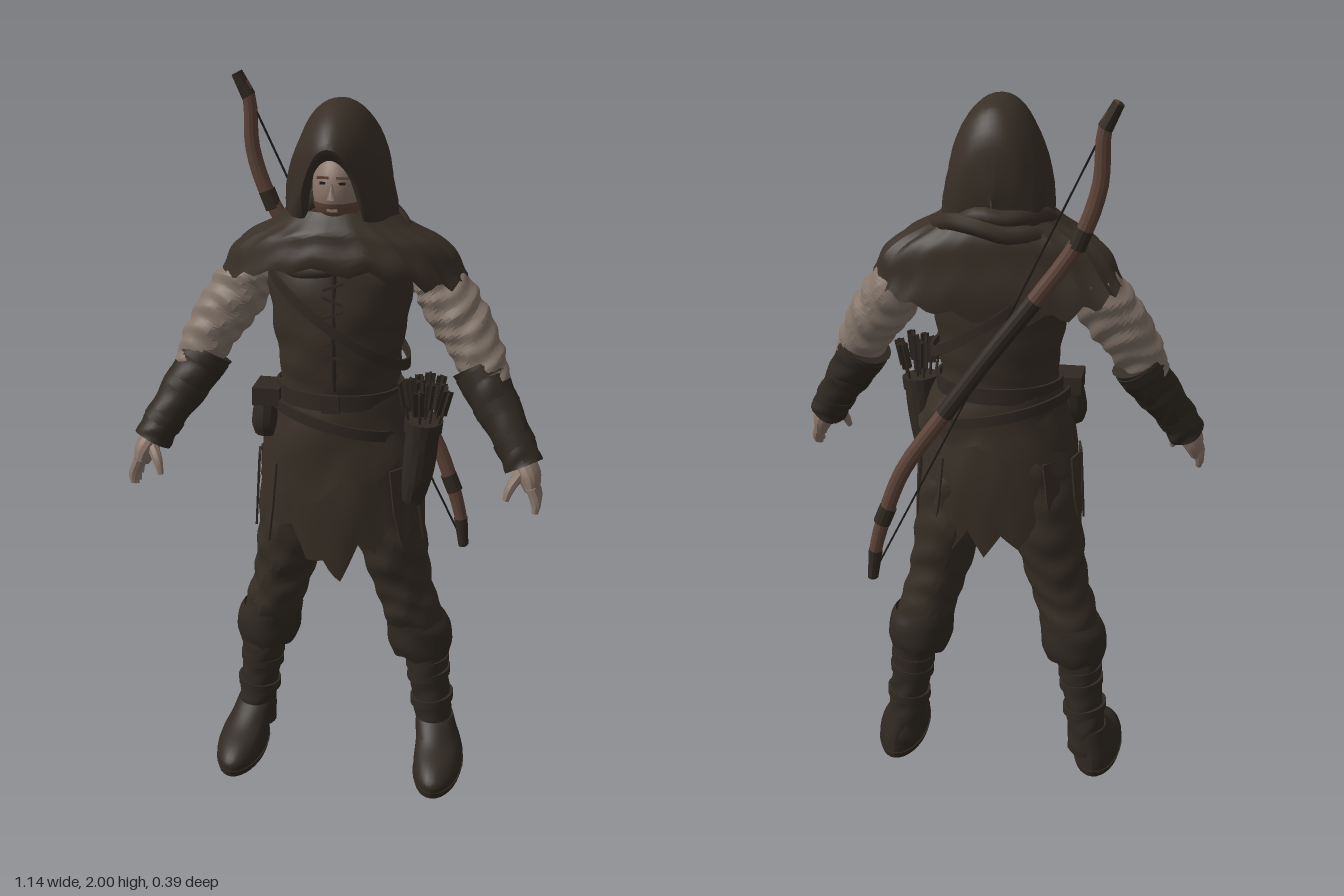
import * as THREE from 'three';
import { toCreasedNormals } from 'three/addons/utils/BufferGeometryUtils.js';

const mat = (name, color) => Object.assign(
  new THREE.MeshStandardMaterial({ color, side: THREE.DoubleSide }), { name });
const M = {
  cloth: mat('dark cloth', 0x382f26), trousers: mat('trouser cloth', 0x362e25),
  leather: mat('dark leather', 0x302922), sleeve: mat('linen sleeve', 0x84756a),
  skin: mat('skin', 0x8a766a), beard: mat('beard', 0x624639),
  wood: mat('bow wood', 0x5c4337), string: mat('string', 0x1e1b18),
};
const V = (x, y, z) => new THREE.Vector3(x, y, z);
const hash = n => { const s = Math.sin(n * 127.1 + 3.7) * 43758.5453; return s - Math.floor(s); };
// ragged edge: teeth of uneven length, 0..1
const jag = (th, k) => {
  const q = ((th / (Math.PI * 2)) % 1) * k, f = q - Math.floor(q);
  return (1 - Math.abs(f - 0.5) * 2) * (0.4 + 0.6 * hash(Math.floor(q)));
};
const power = (v, p) => Math.sign(v) * Math.abs(v) ** p;

// surface from a rule f(i, j) -> point
function grid(nu, nv, f) {
  const pos = [], idx = [];
  for (let i = 0; i <= nu; i++) for (let j = 0; j <= nv; j++) pos.push(...f(i, j).toArray());
  for (let i = 0; i < nu; i++) for (let j = 0; j < nv; j++) {
    const a = i * (nv + 1) + j, b = a + nv + 1;
    idx.push(a, b, a + 1, b, b + 1, a + 1);
  }
  const g = new THREE.BufferGeometry();
  g.setAttribute('position', new THREE.Float32BufferAttribute(pos, 3));
  g.setIndex(idx);
  return toCreasedNormals(g, 0.4);
}

// loft through rings [x, y, z, halfWidth, halfDepth]; w = wrinkles, hem = ragged start, bend = ends swept back, sq = squarer
function loft(rings, { n = 24, m = 5, flat = false, open = false, w = 0, freq = 40, seed = 0, hem = null, bend = 0, sq = 1 } = {}) {
  const path = new THREE.CatmullRomCurve3(rings.map(r => V(r[0], r[1], r[2])));
  const size = new THREE.CatmullRomCurve3(rings.map((r, i) => V(r[3], r[4], i * 0.1)));
  const steps = (rings.length - 1) * m, pad = open ? 0 : 1;
  return grid(steps + 2 * pad, n, (i, j) => {
    const u = Math.min(Math.max((i - pad) / steps, 0), 1);
    const c = path.getPoint(u), s = size.getPoint(u);
    if (!open && (i === 0 || i === steps + 2)) return c;
    const t = flat ? V(0, 1, 0) : path.getTangent(u);
    const F = V(0, 0, 1).addScaledVector(t, -t.z).normalize(), S = t.clone().cross(F);
    const th = (j % n) / n * Math.PI * 2;
    const k = 1 + w * (Math.sin(freq * u + 2.2 * Math.sin(th * 2 + seed) + seed)
      + 0.6 * Math.sin(freq * 0.6 * u - 3 * Math.cos(th + seed) + th * 3));
    c.addScaledVector(S, s.x * k * power(Math.cos(th), sq)).addScaledVector(F, s.y * k * power(Math.sin(th), sq));
    if (hem) c.y += hem(th) * Math.pow(1 - u, 1.4);
    c.z -= bend * c.x * c.x;
    return c;
  });
}
// flat strap round the body, tilted
const band = (a, b, y, tilt, h, z = 0.02, x = 0) => grid(3, 40, (i, j) => {
  const th = (j % 40) / 40 * Math.PI * 2, o = i === 0 || i === 3 ? 0 : 0.008;
  return V(x + (a + o) * Math.cos(th), y + tilt * Math.cos(th) + (i < 2 ? -h : h) / 2, z + (b + o) * Math.sin(th));
});
const tube = (pts, r, m = 20) => new THREE.TubeGeometry(new THREE.CatmullRomCurve3(pts.map(p => V(...p))), m, r, 6);

export function createModel() {
  const root = new THREE.Group();
  root.name = 'hoodedArcher';
  const add = (name, geo, m, parent = root) => {
    const o = new THREE.Mesh(geo, m);
    o.name = name;
    parent.add(o);
    return o;
  };

  // torso and skirts
  add('vest', loft([[0, 1.16, 0.02, 0.165, 0.127], [0, 1.24, 0.025, 0.163, 0.137], [0, 1.36, 0.025, 0.178, 0.148],
    [0, 1.5, 0.02, 0.195, 0.148], [0, 1.6, 0.01, 0.17, 0.125], [0, 1.67, 0.01, 0.08, 0.08]],
  { flat: true, n: 40, w: 0.016, freq: 38 }), M.cloth);
  add('tunicSkirt', loft([[0, 0.83, 0.016, 0.236, 0.142], [0, 0.98, 0.018, 0.224, 0.142], [0, 1.1, 0.018, 0.195, 0.135],
    [0, 1.2, 0.02, 0.165, 0.128]], { flat: true, open: true, n: 90, w: 0.024, freq: 9, seed: 1,
    hem: th => -0.12 * Math.max(0, Math.sin(th)) ** 14 - 0.06 * Math.max(0, -Math.sin(th)) ** 3 - 0.08 * jag(th, 15) }), M.cloth);
  add('overskirt', loft([[0, 1, 0.02, 0.232, 0.152], [0, 1.1, 0.02, 0.202, 0.145], [0, 1.2, 0.02, 0.17, 0.133]],
    { flat: true, open: true, n: 72, w: 0.02, freq: 7, seed: 3,
      hem: th => 0.07 * Math.cos(th + 0.5) - 0.07 * jag(th, 9) }), M.cloth);
  add('belt', band(0.168, 0.134, 1.185, 0, 0.045), M.leather);
  add('hipBelt', band(0.19, 0.146, 1.12, -0.045, 0.03), M.leather);
  add('buckle', new THREE.BoxGeometry(0.05, 0.05, 0.012), M.leather).position.set(0, 1.185, 0.164);
  add('chestStrap', band(0.184, 0.16, 1.4, -0.13, 0.03, 0.022), M.leather);
  add('vestPlacket', tube([[0.008, 1.22, 0.158], [0.008, 1.36, 0.173], [0.008, 1.54, 0.16]], 0.008), M.leather);
  for (let i = 0; i < 6; i++) {
    const lace = add('vestLace', new THREE.BoxGeometry(0.055, 0.007, 0.008), M.leather);
    lace.position.set(0.008, 1.32 + i * 0.038, 0.174);
    lace.rotation.z = i % 2 ? 0.35 : -0.35;
  }

  // mantle, scarf and hood
  add('shoulderMantle', loft([[0, 1.505, 0.018, 0.335, 0.155], [0, 1.56, 0.018, 0.305, 0.157], [0, 1.61, 0.016, 0.25, 0.15],
    [0, 1.645, 0.014, 0.18, 0.138], [0, 1.69, 0.01, 0.11, 0.11]],
  { flat: true, open: true, n: 90, w: 0.018, freq: 11, seed: 2, bend: 0.5, sq: 0.85,
    hem: th => 0.055 * Math.max(0, Math.sin(th)) ** 4 - 0.08 * Math.max(0, -Math.sin(th)) ** 2 - 0.04 * jag(th, 19) }), M.cloth);
  [[0.165, 0.14, 1.6, 0.025, 0.025], [0.14, 0.125, 1.63, 0.026, -0.015], [0.115, 0.108, 1.652, 0.022, 0.01]]
    .forEach(([a, b, y, r, tilt], k) => {
      const pts = [];
      for (let i = 0; i < 14; i++) {
        const th = i / 14 * Math.PI * 2;
        pts.push(V(a * Math.cos(th), y + tilt * Math.cos(th) - 0.05 * Math.sin(th) + 0.008 * Math.sin(i * 2.3 + k), 0.01 + b * Math.sin(th)));
      }
      add('scarfFold', new THREE.TubeGeometry(new THREE.CatmullRomCurve3(pts, true), 48, r, 8, true), M.cloth);
    });
  // hood arches from brim to back: [zTop, zBottom, halfWidth, yTop, yBottom]
  const arches = [[0.165, 0.07, 0.07, 1.835, 1.635], [0.196, 0.085, 0.084, 1.868, 1.63], [0.14, 0.06, 0.12, 1.93, 1.62],
    [0.04, 0.02, 0.147, 1.968, 1.615], [-0.065, -0.045, 0.14, 1.948, 1.615], [-0.115, -0.088, 0.112, 1.88, 1.625],
    [-0.128, -0.105, 0.06, 1.79, 1.64], [-0.13, -0.11, 0.004, 1.73, 1.65]];
  const hoodA = new THREE.CatmullRomCurve3(arches.map(a => V(a[0], a[1], a[2])));
  const hoodB = new THREE.CatmullRomCurve3(arches.map((a, i) => V(a[3], a[4], i * 0.05)));
  add('hood', grid(28, 28, (i, j) => {
    const a = hoodA.getPoint(i / 28), b = hoodB.getPoint(i / 28), p = (j / 28 - 0.5) * Math.PI;
    const h = Math.pow(Math.max(0, Math.cos(p)), 0.92), fold = 1 + 0.03 * Math.sin(i * 0.9 + h * 9);
    return V(a.z * Math.sin(p) * fold, b.y + (b.x - b.y) * h, a.y + (a.x - a.y) * Math.pow(h, 0.75));
  }), M.cloth);

  // head
  const head = new THREE.Group();
  head.name = 'head';
  root.add(head);
  head.position.set(0, 1.748, 0.05);
  add('face', new THREE.SphereGeometry(1, 24, 18), M.skin, head).scale.set(0.066, 0.1, 0.09);
  add('beard', new THREE.SphereGeometry(1, 24, 12, 0, Math.PI * 2, Math.PI * 0.59, Math.PI * 0.41), M.beard, head).scale.set(0.069, 0.108, 0.094);
  add('mouth', new THREE.BoxGeometry(0.028, 0.007, 0.008), M.skin, head).position.set(0, -0.047, 0.084);
  const nose = add('nose', new THREE.ConeGeometry(0.012, 0.046, 4), M.skin, head);
  nose.position.set(0, 0.004, 0.091);
  nose.rotation.x = -0.2;
  for (const s of [-1, 1]) {
    add('brow', new THREE.BoxGeometry(0.03, 0.006, 0.009), M.beard, head).position.set(s * 0.025, 0.036, 0.079);
    add('eye', new THREE.BoxGeometry(0.016, 0.006, 0.008), M.string, head).position.set(s * 0.025, 0.022, 0.08);
  }

  for (const s of [-1, 1]) {
    const side = s > 0 ? 'left' : 'right';
    const mir = rings => rings.map(([x, ...r]) => [x * s, ...r]);
    const limb = (name, rings, m, o) => add(side + name, loft(mir(rings), o), m);

    // leg, knee cuff, boot
    limb('Trouser', [[0.235, 0.36, -0.045, 0.062, 0.068], [0.203, 0.5, -0.02, 0.085, 0.088], [0.173, 0.6, -0.01, 0.085, 0.092],
      [0.145, 0.72, -0.002, 0.1, 0.11], [0.12, 0.86, 0.004, 0.105, 0.112], [0.1, 1, 0.008, 0.098, 0.105]],
    M.trousers, { flat: true, w: 0.034, freq: 40, seed: s, m: 8 });
    limb('KneeCuff', [[0.23, 0.37, -0.036, 0.084, 0.086], [0.227, 0.4, -0.036, 0.093, 0.093], [0.222, 0.45, -0.034, 0.094, 0.094],
      [0.212, 0.48, -0.03, 0.086, 0.09]], M.leather,
    { flat: true, open: true, n: 40, w: 0.015, freq: 8, hem: th => -0.018 * jag(th, 6) });
    limb('Boot', [[0.276, 0.06, -0.055, 0.058, 0.064], [0.268, 0.15, -0.05, 0.055, 0.063], [0.256, 0.25, -0.047, 0.057, 0.064],
      [0.238, 0.4, -0.047, 0.064, 0.07]], M.leather, { flat: true, w: 0.03, freq: 26, seed: s * 2, m: 8 });
    limb('Shoe', [[0.297, 0.01, 0.035, 0.068, 0.157], [0.297, 0.04, 0.035, 0.071, 0.157], [0.293, 0.07, 0.018, 0.066, 0.138],
      [0.284, 0.1, -0.02, 0.059, 0.098], [0.273, 0.14, -0.05, 0.055, 0.064]], M.leather, { flat: true, n: 32 });
    limb('Sole', [[0.297, 0, 0.035, 0.068, 0.157], [0.297, 0.018, 0.035, 0.073, 0.161]], M.leather, { flat: true, n: 32, m: 1 });
    [[0.263, 0.2], [0.252, 0.285], [0.248, 0.325]].forEach(([x, y]) =>
      add(side + 'BootStrap', band(0.055, 0.061, y, 0.008 * s, 0.024, -0.048, x * s), M.leather));

    // sleeve, bracer, glove
    limb('Sleeve', [[0.19, 1.53, -0.035, 0.05, 0.055], [0.25, 1.485, -0.035, 0.07, 0.08], [0.3, 1.415, -0.022, 0.08, 0.08],
      [0.345, 1.35, -0.006, 0.075, 0.073], [0.385, 1.28, 0.014, 0.066, 0.063], [0.42, 1.22, 0.03, 0.05, 0.05]],
    M.sleeve, { w: 0.045, freq: 46, seed: s, m: 9 });
    limb('Bracer', [[0.374, 1.265, 0.01, 0.071, 0.068], [0.398, 1.22, 0.026, 0.067, 0.067], [0.45, 1.14, 0.062, 0.059, 0.057],
      [0.495, 1.065, 0.094, 0.052, 0.054], [0.515, 1.025, 0.108, 0.054, 0.056]], M.leather, { w: 0.03, freq: 26, seed: 4 });
    [[0.385, 1.245, 0.017, 0.071], [0.43, 1.17, 0.049, 0.064], [0.485, 1.082, 0.087, 0.056]].forEach(([x, y, z, r]) =>
      limb('BracerStrap', [[x - 0.008, y + 0.012, z - 0.004, r, r], [x + 0.008, y - 0.012, z + 0.004, r, r]], M.leather, { m: 1, n: 20 }));
    limb('Palm', [[0.505, 1.05, 0.1, 0.03, 0.04], [0.53, 1.005, 0.117, 0.032, 0.05], [0.542, 0.965, 0.13, 0.02, 0.046]], M.skin, { n: 14 });
    for (let i = 0; i < 4; i++) {
      const z = 0.098 + i * 0.023, d = [0.012, 0, 0, 0.01][i];
      limb('Finger', [[0.54, 0.985, z, 0.014, 0.014], [0.555, 0.945, z + 0.006, 0.013, 0.013],
        [0.553, 0.91 + d, z + 0.012, 0.008, 0.008]], M.skin, { n: 8, m: 3 });
    }
    limb('Thumb', [[0.51, 1.02, 0.135, 0.018, 0.018], [0.485, 0.985, 0.165, 0.014, 0.014], [0.474, 0.95, 0.178, 0.008, 0.008]], M.skin, { n: 8, m: 3 });

    // hanging cloth tatters at the hip
    for (let i = 0; i < 4; i++) {
      const sh = new THREE.Shape([[-0.03, 0], [0.03, 0], [0.02, -0.13], [0.004, -0.2 - 0.05 * hash(i + s)], [-0.02, -0.12]].map(p => new THREE.Vector2(...p)));
      const t = add(side + 'Tatter', new THREE.ExtrudeGeometry(sh, { depth: 0.006, bevelEnabled: false }), M.cloth);
      const th = -0.8 + i * 0.5;
      t.position.set(s * 0.226 * Math.cos(th), 0.99, 0.018 + 0.143 * Math.sin(th));
      t.rotation.set(-0.06, Math.atan2(s * Math.cos(th), Math.sin(th)), 0, 'YXZ');
    }
  }

  // pouch on the right hip
  add('pouch', loft([[-0.195, 1.06, 0.07, 0.035, 0.045], [-0.196, 1.1, 0.07, 0.042, 0.055], [-0.19, 1.2, 0.065, 0.03, 0.045]],
    { flat: true, n: 12 }), M.leather);
  add('pouchFlap', new THREE.BoxGeometry(0.075, 0.05, 0.1), M.leather).position.set(-0.188, 1.175, 0.068);

  // quiver with arrows on the left hip
  add('quiver', loft([[0.215, 0.9, 0.1, 0.03, 0.034], [0.228, 0.98, 0.106, 0.042, 0.046], [0.245, 1.14, 0.118, 0.047, 0.053]],
    { n: 16, w: 0.015, freq: 12 }), M.leather);
  add('quiverRim', loft([[0.242, 1.11, 0.116, 0.051, 0.056], [0.245, 1.145, 0.118, 0.052, 0.058]], { n: 16, m: 1 }), M.leather);
  for (let i = 0; i < 11; i++) {
    const a = i * 2.4, r = 0.038 * Math.sqrt(i / 10);
    const arrow = new THREE.Group();
    arrow.name = 'arrow';
    arrow.position.set(0.245 + r * Math.cos(a), 1.1, 0.118 + r * Math.sin(a));
    arrow.rotation.set(0.1 + r * 5 * Math.sin(a), a, -0.06 - r * 6 * Math.cos(a), 'XZY');
    root.add(arrow);
    const h = 0.145 + 0.035 * hash(i);
    add('arrowShaft', new THREE.CylinderGeometry(0.004, 0.004, h, 5), M.leather, arrow).position.y = h / 2;
    for (let k = 0; k < 2; k++) {
      const f = add('fletching', new THREE.BoxGeometry(0.028, 0.075, 0.003), M.leather, arrow);
      f.position.y = h - 0.04;
      f.rotation.y = k * Math.PI / 2;
    }
  }

  // bow slung across the back
  const bow = [[-0.322, 1.992], [-0.29, 1.93], [-0.282, 1.79], [-0.235, 1.65], [-0.12, 1.48], [0, 1.32], [0.12, 1.15],
    [0.235, 0.98], [0.29, 0.84], [0.32, 0.73], [0.33, 0.645]];
  const thick = [0.013, 0.018, 0.021, 0.022, 0.022, 0.021, 0.022, 0.022, 0.021, 0.018, 0.013];
  const part = (from, to, extra) => loft(bow.slice(from, to + 1).map(([x, y], i) =>
    [x, y, -0.174, thick[from + i] + extra, 0.021 + extra]), { n: 12, m: 4 });
  add('bowLimbs', part(0, 10, 0), M.wood);
  add('bowGrip', part(4, 6, 0.002), M.leather);
  add('bowUpperWrap', part(0, 1, 0.002), M.leather);
  add('bowLowerWrap', part(9, 10, 0.002), M.leather);
  for (const i of [3, 8]) {
    const [x, y] = bow[i];
    add('bowBinding', loft([[x - 0.01, y + 0.025, -0.174, 0.024, 0.023], [x + 0.01, y - 0.025, -0.174, 0.024, 0.023]], { n: 12, m: 1 }), M.leather);
  }
  add('bowString', tube([[-0.312, 1.98, -0.174], [0, 1.32, -0.174], [0.325, 0.66, -0.174]], 0.003, 8), M.string);
  return root;
}
